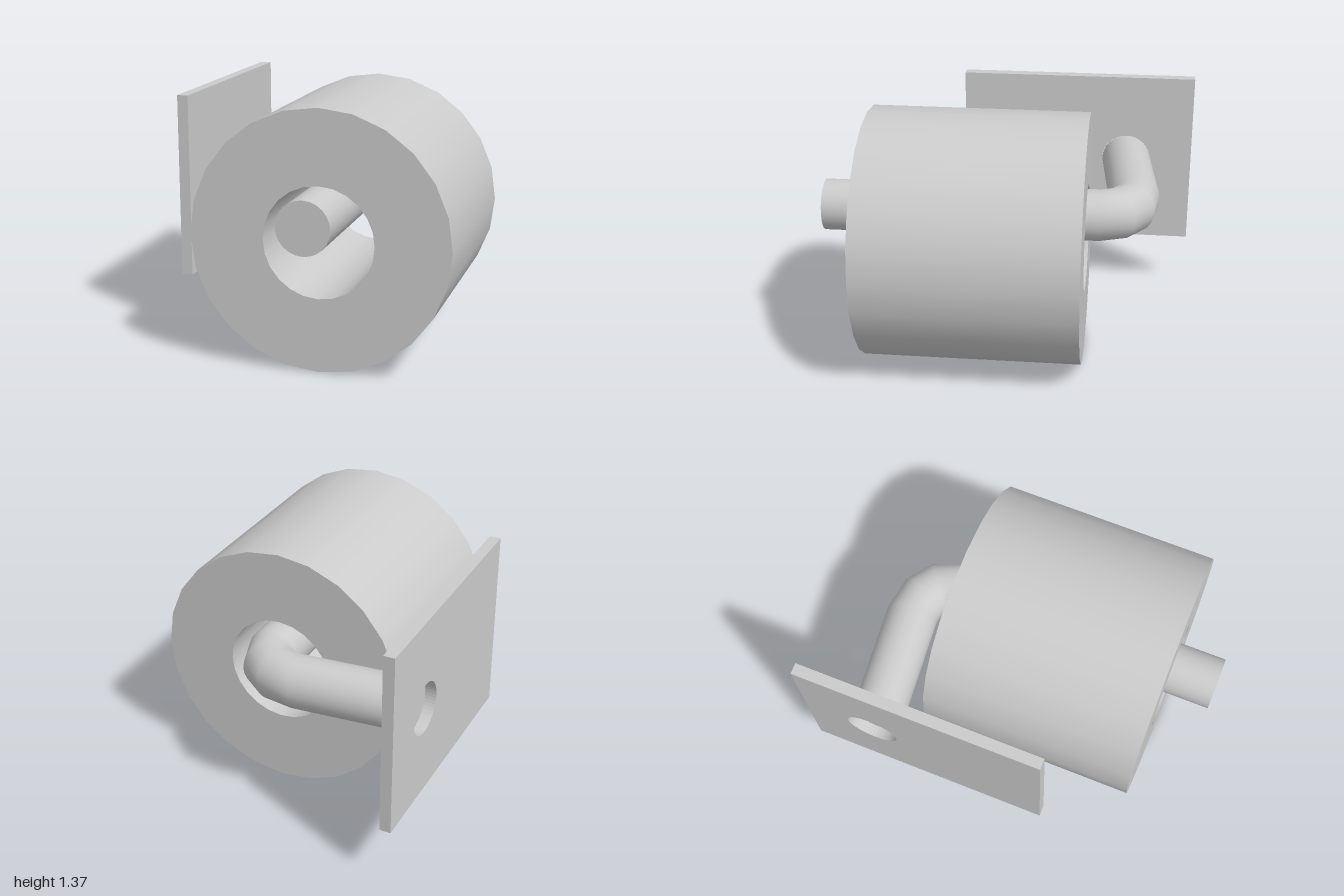
import * as THREE from 'three';
import { mergeGeometries } from 'three/addons/utils/BufferGeometryUtils.js';

const SIDES = 24;
const ROD_Y = 0.825, ROD_R = 0.14;

function addMesh(parent, name, geometry) {
  const mesh = new THREE.Mesh(geometry, new THREE.MeshStandardMaterial({ color: 0xcccccc }));
  mesh.name = name;
  parent.add(mesh);
  return mesh;
}

// Hollow roll: four sharp-edged bands turned around one axis
function rollGeometry(outer, inner, length) {
  const h = length / 2;
  const corners = [[outer, -h], [outer, h], [inner, h], [inner, -h]].map(([r, y]) => new THREE.Vector2(r, y));
  const bands = corners.map((p, i) => new THREE.LatheGeometry([p, corners[(i + 1) % 4]], SIDES));
  return mergeGeometries(bands).rotateX(Math.PI / 2);
}

// Square wall plate with a round hole for the rod
function plateGeometry(holeZ) {
  const shape = new THREE.Shape();
  shape.moveTo(-0.34, 0.325).lineTo(1, 0.325).lineTo(1, 1.325).lineTo(-0.34, 1.325).closePath();
  shape.holes.push(new THREE.Path().absarc(-holeZ, ROD_Y, ROD_R, 0, Math.PI * 2, true));
  return new THREE.ExtrudeGeometry(shape, { depth: 0.06, bevelEnabled: false, curveSegments: SIDES })
    .rotateY(Math.PI / 2).translate(-0.8, 0, 0);
}

// Bent rod: each section is [outer x, outer z, inner x, inner z] across the bend
function rodGeometry(sections) {
  const positions = [], index = [];
  sections.forEach(([ox, oz, ix, iz], j) => {
    for (let k = 0; k < SIDES; k++) {
      const t = (k / SIDES) * Math.PI * 2, c = Math.cos(t) / 2;
      positions.push((ox + ix) / 2 + (ox - ix) * c, ROD_Y + ROD_R * Math.sin(t), (oz + iz) / 2 + (oz - iz) * c);
      if (j === sections.length - 1) continue;
      const a = j * SIDES + k, b = j * SIDES + (k + 1) % SIDES;
      index.push(a, a + SIDES, b, b, a + SIDES, b + SIDES);
    }
  });
  const geometry = new THREE.BufferGeometry();
  geometry.setAttribute('position', new THREE.Float32BufferAttribute(positions, 3));
  geometry.setIndex(index);
  geometry.computeVertexNormals();
  return geometry;
}

export function createModel() {
  const model = new THREE.Group();
  model.name = 'rollHolder';
  const endZ = -0.617;

  addMesh(model, 'paperRoll', rollGeometry(0.685, 0.293, 1.18)).position.set(0.115, 0.685, 0.16);
  addMesh(model, 'wallPlate', plateGeometry(endZ));

  const rod = new THREE.Group();
  rod.name = 'rod';
  model.add(rod);
  addMesh(rod, 'rodBody', rodGeometry([
    [0.255, 1, -0.025, 1],
    [0.255, -0.5, -0.025, -0.5],
    [0.185, -0.69, -0.035, -0.515],
    [0.05, -0.79, -0.06, -0.535],
    [-0.14, -0.818, -0.11, -0.54],
    [-0.74, -0.757, -0.74, -0.478],
  ]));
  // Flat ends of the rod
  addMesh(rod, 'rodFrontCap', new THREE.CircleGeometry(ROD_R, SIDES)).position.set(0.115, ROD_Y, 1);
  addMesh(rod, 'rodWallCap', new THREE.CircleGeometry(ROD_R, SIDES).rotateY(-Math.PI / 2))
    .position.set(-0.74, ROD_Y, endZ);
  return model;
}
